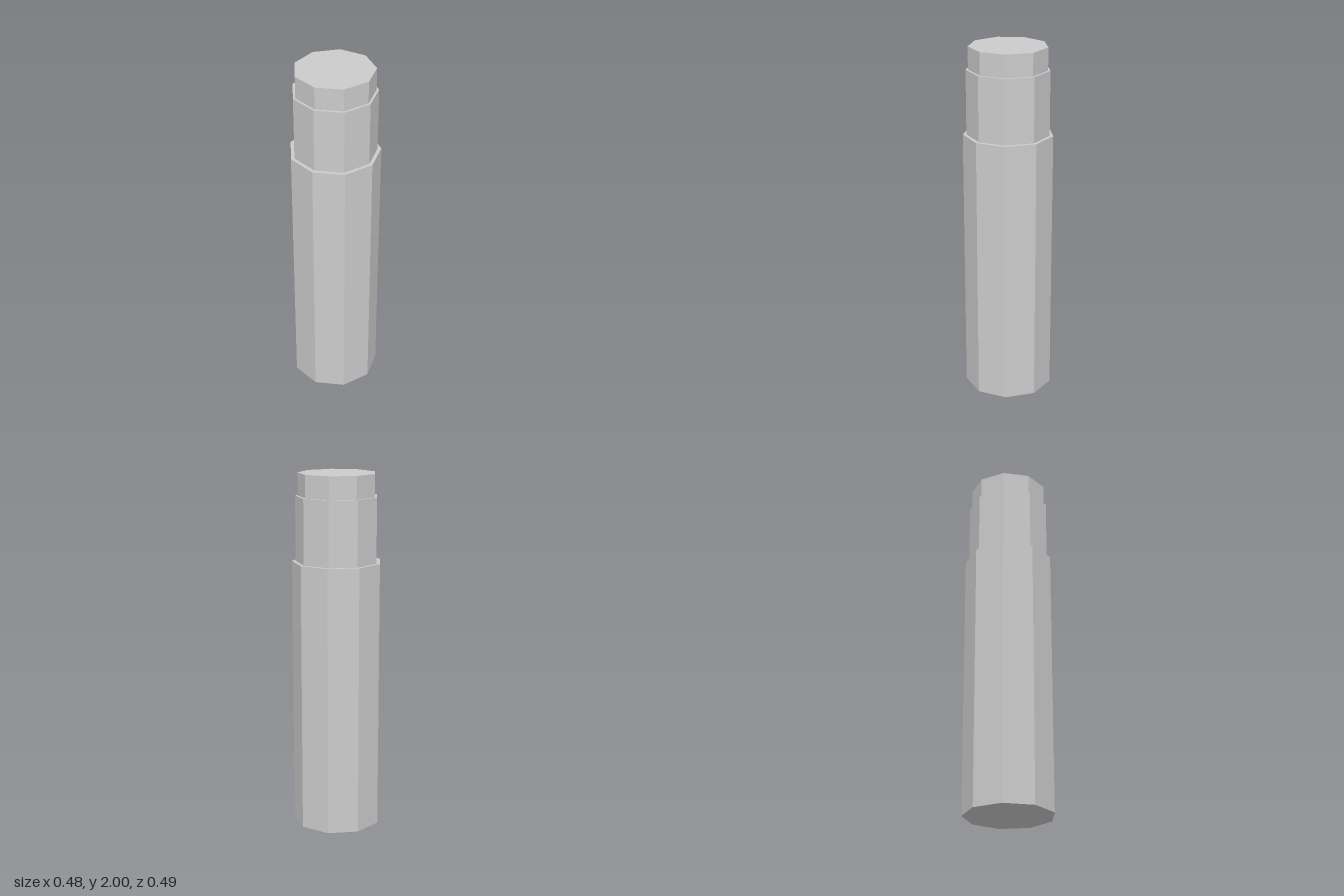
import * as THREE from 'three';

const SIDES = 9;

// Nine-sided turned section with one corner on +x; profile runs bottom to top as [radius, y].
function section(name, profile, material) {
  const points = profile.map(([r, y]) => new THREE.Vector2(r, y));
  const mesh = new THREE.Mesh(new THREE.LatheGeometry(points, SIDES, Math.PI / 2), material);
  mesh.name = name;
  return mesh;
}

export function createModel() {
  const model = new THREE.Group();
  model.name = 'steppedPost';
  const material = new THREE.MeshStandardMaterial({ color: 0xcccccc, flatShading: true });

  const bodyR = 0.25, collarR = 0.23, tipR = 0.217;
  const bodyTop = 1.515, collarTop = 1.875, top = 2;

  // Long body: base, side and the ledge around the collar
  model.add(section('body', [[0, 0], [bodyR, 0], [bodyR, bodyTop], [collarR, bodyTop]], material));
  // Narrower collar with its ledge
  model.add(section('collar', [[collarR, bodyTop], [collarR, collarTop], [tipR, collarTop]], material));
  // Short closed tip
  model.add(section('tip', [[tipR, collarTop], [tipR, top], [0, top]], material));

  // An odd-sided outline is not symmetric in x, so centre its bounds
  model.position.x = -bodyR * (1 - Math.cos(Math.PI / SIDES)) / 2;
  return model;
}
